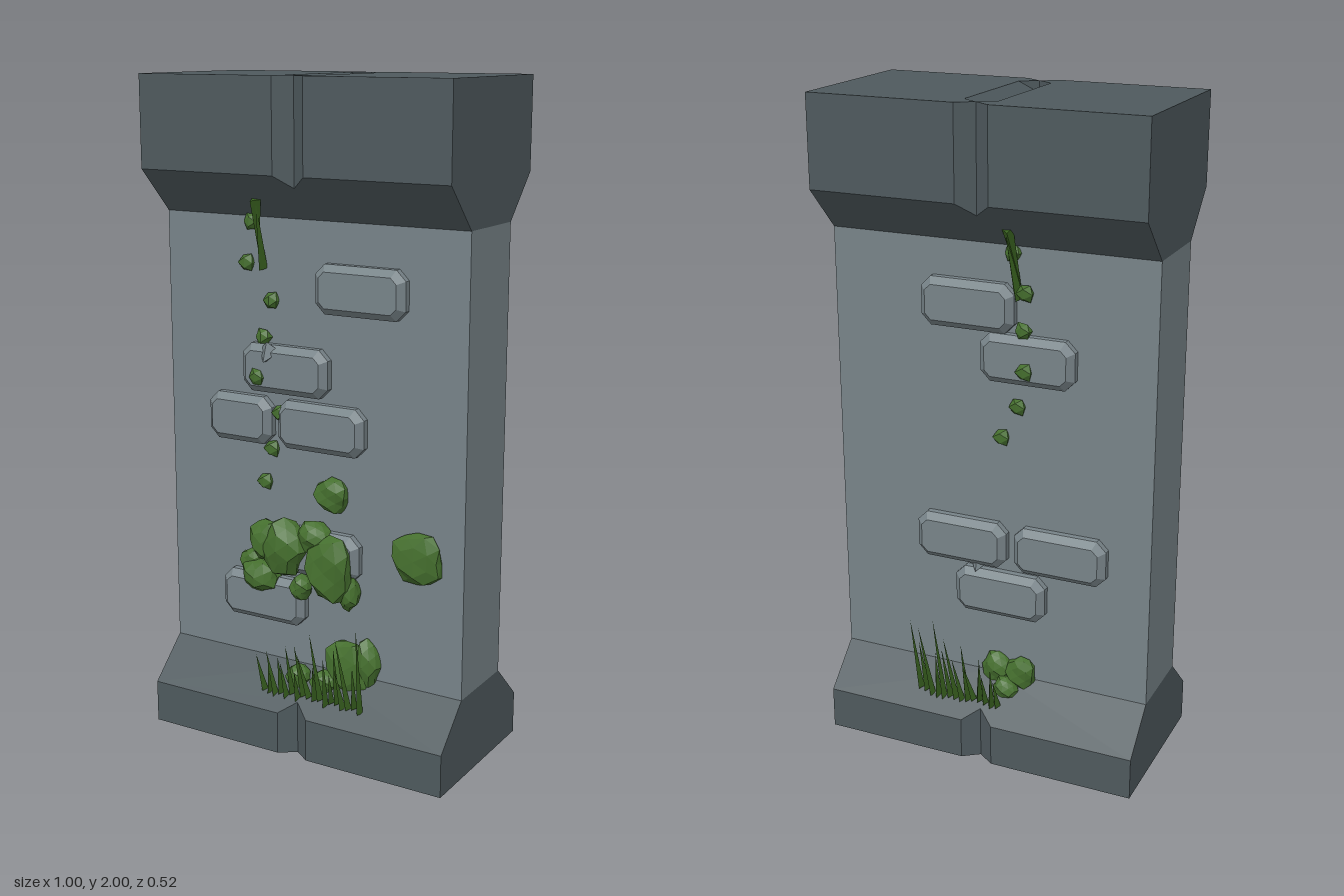
import * as THREE from 'three';

const mat = (name, color, opts = {}) => Object.assign(new THREE.MeshStandardMaterial({ color, ...opts }), { name });

export function createModel() {
  const root = new THREE.Group();
  root.name = 'overgrownWall';
  const wallStone = mat('wall stone', 0x778388, { flatShading: true });
  const trimStone = mat('dark trim stone', 0x4e595d, { flatShading: true, side: THREE.DoubleSide });
  const moss = mat('moss green', 0x456f2e, { flatShading: true });
  const grass = mat('grass green', 0x38601f, { flatShading: true, side: THREE.DoubleSide });

  let seed = 11;
  const rnd = () => (seed = (seed * 16807) % 2147483647) / 2147483647;

  const add = (parent, name, geometry, material) => {
    const m = new THREE.Mesh(geometry, material);
    m.name = name;
    parent.add(m);
    return m;
  };

  // Wall slab
  add(root, 'wall', new THREE.BoxGeometry(1, 1.35, 0.25), wallStone).position.y = 0.925;

  // Builds a solid from the polygons of one quarter, mirrored in x and z
  const mirrored = (polys, flip) => {
    const pos = [];
    for (const sx of [1, -1]) for (const sz of [1, -1]) {
      for (const p of polys) {
        for (let i = 1; i < p.length - 1; i++) {
          const tri = [p[0], p[i], p[i + 1]];
          if ((sx * sz < 0) !== flip) tri.reverse();
          tri.forEach(([x, y, z]) => pos.push(x * sx, y, z * sz));
        }
      }
    }
    const g = new THREE.BufferGeometry();
    g.setAttribute('position', new THREE.Float32BufferAttribute(pos, 3));
    g.computeVertexNormals();
    return g;
  };

  // Trim profile: outer end, edge of the slope, groove tip, neck at the wall
  const trim = (end, edge, tip, neck) => [
    [[0.05, edge, 0.25], [0.5, edge, 0.25], [0.5, end, 0.25], [0.05, end, 0.25]],
    [[0.5, edge, 0.25], [0.05, edge, 0.25], [0, tip, 0.215], [0, neck, 0.125], [0.5, neck, 0.125]],
    [[0.5, end, 0], [0.5, end, 0.25], [0.5, edge, 0.25], [0.5, neck, 0.125], [0.5, neck, 0]],
    [[0, tip, 0.215], [0.05, edge, 0.25], [0.05, end, 0.25], [0, end, 0.215]],
  ];
  const low = 1.965;
  const capTop = [
    [[0.5, 2, 0], [0.05, 2, 0], [0.05, 2, 0.18], [0, 2, 0.215], [0.05, 2, 0.25], [0.5, 2, 0.25]],
    [[0.05, 2, 0], [0, low, 0], [0, low, 0.215], [0.05, 2, 0.18]],
    [[0, low, 0.215], [0, 2, 0.215], [0.05, 2, 0.18]],
  ];
  add(root, 'cap', mirrored([...trim(2, 1.73, 1.695, 1.6), ...capTop], false), trimStone);
  add(root, 'base', mirrored(trim(0, 0.13, 0.163, 0.25), true), trimStone); // open underneath

  // Raised brick with clipped corners and a bevelled face
  const brick = (parent, x, y, w) => {
    const b = 0.02, c = 0.018, hw = w / 2 - b, hh = 0.072 - b;
    const s = new THREE.Shape([
      [-hw + c, -hh], [hw - c, -hh], [hw, -hh + c], [hw, hh - c],
      [hw - c, hh], [-hw + c, hh], [-hw, hh - c], [-hw, -hh + c],
    ].map(([px, py]) => new THREE.Vector2(px, py)));
    const g = new THREE.ExtrudeGeometry(s, { depth: 0.03, bevelEnabled: true, bevelSize: b, bevelThickness: 0.02, bevelSegments: 1 });
    add(parent, 'brick', g, wallStone).position.set(x, y, 0.115);
  };

  // Faceted moss lump
  const lump = (parent, name, x, y, z, rx, ry, rz, detail = 1) => {
    const g = new THREE.IcosahedronGeometry(1, detail);
    const p = g.attributes.position, v = new THREE.Vector3(), k = rnd() * 6;
    for (let i = 0; i < p.count; i++) {
      v.fromBufferAttribute(p, i);
      v.multiplyScalar(0.97 + 0.11 * Math.sin(v.x * 3.1 + v.y * 4.3 + v.z * 2.3 + k));
      p.setXYZ(i, v.x * rx, v.y * ry, v.z * rz);
    }
    g.computeVertexNormals();
    add(parent, name, g, moss).position.set(x, y, z);
  };

  // Tapering blade between two points
  const blade = (parent, name, from, to, r) => {
    const a = new THREE.Vector3(...from), d = new THREE.Vector3(...to).sub(a), len = d.length();
    const g = new THREE.ConeGeometry(r, len, 3);
    g.translate(0, len / 2, 0);
    const m = add(parent, name, g, grass);
    m.position.copy(a);
    m.quaternion.setFromUnitVectors(new THREE.Vector3(0, 1, 0), d.normalize());
  };

  // Small stone chip
  const chip = (parent, x, y, z) => {
    const m = add(parent, 'stoneChip', new THREE.ConeGeometry(0.035, 0.05, 4), wallStone);
    m.position.set(x, y, z);
    m.rotation.x = 2.2;
  };

  // Front side
  const front = new THREE.Group();
  front.name = 'frontDetails';
  [[0.17, 1.41, 0.29], [-0.08, 1.16, 0.29], [-0.237, 1, 0.22], [0.04, 1, 0.29], [-0.16, 0.447, 0.29], [0.03, 0.617, 0.28]]
    .forEach(b => brick(front, ...b));
  chip(front, -0.13, 1.2, 0.165);
  [[-0.2, 1.585, 0.13], [-0.217, 1.465, 0.13], [-0.133, 1.36, 0.13], [-0.16, 1.25, 0.135], [-0.165, 1.135, 0.165],
    [-0.1, 1.03, 0.14], [-0.135, 0.915, 0.13], [-0.16, 0.81, 0.13]]
    .forEach(([x, y, z]) => lump(front, 'vineLeaf', x, y, z, 0.028, 0.028, 0.02, 0));
  [[0.07, 0.8, 0.13, 0.058, 0.055, 0.035], [0.355, 0.655, 0.13, 0.088, 0.085, 0.035],
    [-0.14, 0.635, 0.155, 0.06, 0.07, 0.045], [-0.075, 0.625, 0.165, 0.075, 0.09, 0.05],
    [-0.165, 0.52, 0.155, 0.065, 0.055, 0.045], [-0.205, 0.555, 0.14, 0.04, 0.04, 0.03],
    [-0.025, 0.505, 0.15, 0.035, 0.04, 0.035], [0.02, 0.67, 0.15, 0.06, 0.05, 0.04],
    [0.085, 0.585, 0.17, 0.08, 0.108, 0.045], [0.14, 0.52, 0.15, 0.035, 0.06, 0.03],
    [0.13, 0.275, 0.14, 0.08, 0.095, 0.035], [0.19, 0.295, 0.13, 0.045, 0.08, 0.035],
    [-0.03, 0.22, 0.16, 0.04, 0.04, 0.035], [0.06, 0.22, 0.16, 0.045, 0.04, 0.035]]
    .forEach(l => lump(front, 'mossClump', ...l));
  blade(front, 'vineStem', [-0.165, 1.45, 0.13], [-0.15, 1.655, 0.185], 0.016);
  blade(front, 'vineStem', [-0.155, 1.655, 0.18], [-0.175, 1.48, 0.128], 0.018);
  [0.3, 0.28, 0.32, 0.31, 0.29, 0.35, 0.27, 0.36, 0.33, 0.3, 0.41, 0.34, 0.29, 0.38, 0.31, 0.41, 0.33, 0.46]
    .forEach((h, i) => {
      const x = -0.125 + i * 0.0195;
      blade(front, 'grassBlade', [x, 0.165 + rnd() * 0.02, 0.205], [x + (rnd() - 0.4) * 0.04, h, 0.2 + h * 0.13], 0.012);
    });

  // Back side, built facing +z and turned round
  const back = new THREE.Group();
  back.name = 'backDetails';
  back.rotation.y = Math.PI;
  [[-0.065, 1.42], [0.12, 1.275], [-0.09, 0.687], [0.225, 0.687], [0.035, 0.53]].forEach(([x, y]) => brick(back, x, y, 0.29));
  chip(back, -0.04, 0.61, 0.14);
  [[0.07, 1.58, 0.13], [0.11, 1.47, 0.135], [0.11, 1.365, 0.15], [0.12, 1.25, 0.165], [0.085, 1.13, 0.13], [0.035, 1.03, 0.13]]
    .forEach(([x, y, z]) => lump(back, 'vineLeaf', x, y, z, 0.028, 0.028, 0.02, 0));
  [[0.02, 0.27, 0.13, 0.05, 0.055, 0.03], [0.1, 0.27, 0.135, 0.05, 0.055, 0.03], [0.06, 0.22, 0.16, 0.04, 0.04, 0.03]]
    .forEach(l => lump(back, 'mossClump', ...l));
  blade(back, 'vineStem', [0.085, 1.45, 0.13], [0.07, 1.655, 0.185], 0.016);
  blade(back, 'vineStem', [0.075, 1.655, 0.18], [0.095, 1.48, 0.128], 0.018);
  [0.44, 0.37, 0.42, 0.34, 0.46, 0.36, 0.4, 0.33, 0.39, 0.31, 0.35, 0.29, 0.32, 0.28]
    .forEach((h, i) => {
      const x = -0.21 + i * 0.02;
      blade(back, 'grassBlade', [x, 0.165 + rnd() * 0.02, 0.205], [x + (rnd() - 0.5) * 0.04, h, 0.2 + h * 0.13], 0.012);
    });

  root.add(front, back);
  return root;
}
